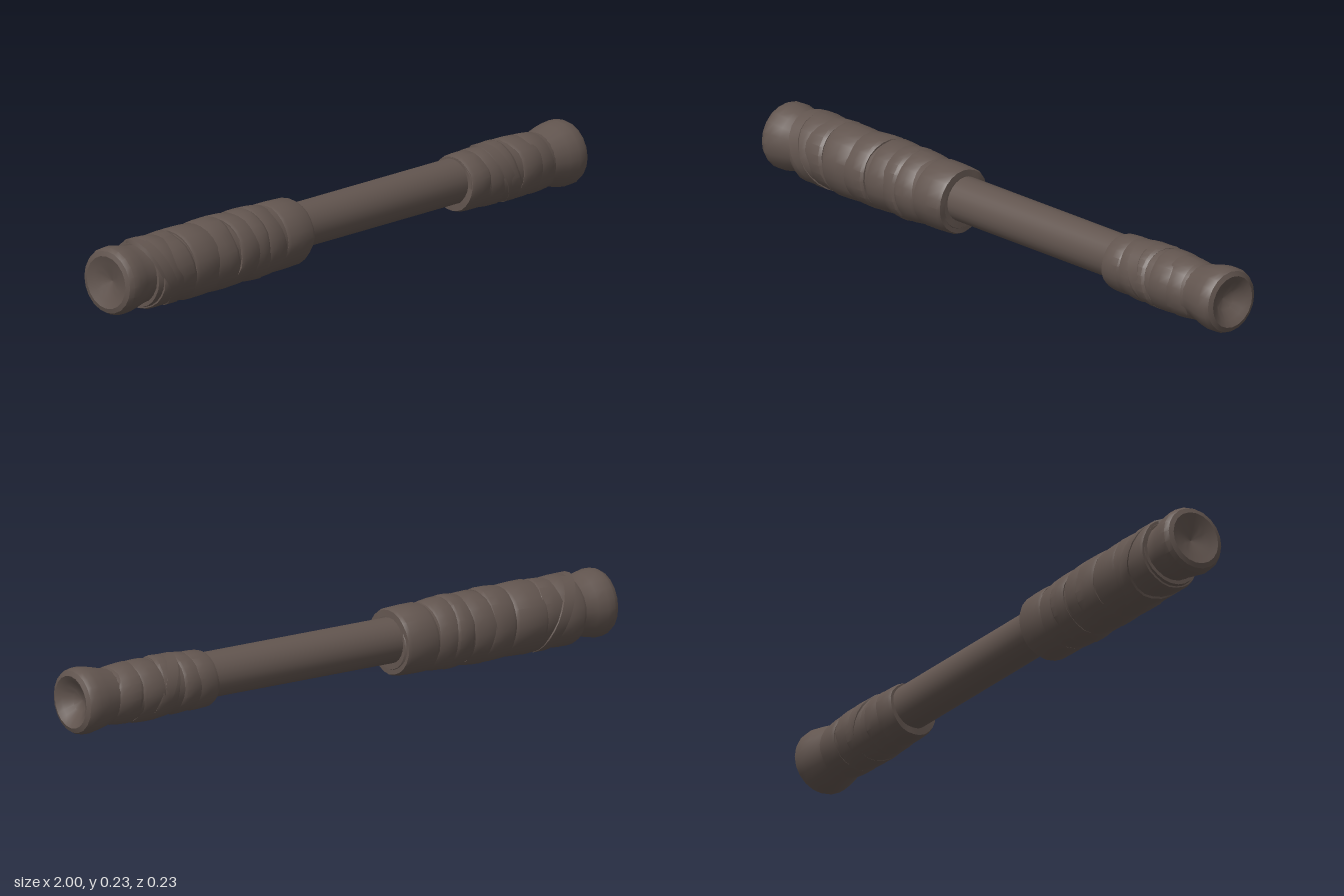
import * as THREE from 'three';
import { toCreasedNormals } from 'three/addons/utils/BufferGeometryUtils.js';

const AXIS_Y = 0.119;

export function createModel() {
  const group = new THREE.Group();
  const darkBrown = new THREE.MeshStandardMaterial({ color: 0x62554f });
  darkBrown.name = 'darkBrown';

  // Turned part along x: profile of [x, radius], optionally tilted and dented
  function turned(name, profile, { sides = 24, tilt = 0, phase = 0, dent = 0, seed = 0, y = AXIS_Y, z = -0.002, crease = 0.5 } = {}) {
    let geo = new THREE.LatheGeometry(profile.map(([x, r]) => new THREE.Vector2(Math.max(r, 0), x)), sides);
    geo.rotateZ(-Math.PI / 2);
    const p = geo.attributes.position;
    for (let i = 0; i < p.count; i++) {
      const a = Math.atan2(p.getZ(i), p.getY(i));
      const wave = Math.sin(3 * a + seed * 2.1) * 0.5 + Math.sin(5 * a + seed * 4.7) * 0.3 + Math.sin(8 * a + seed) * 0.2;
      const k = 1 + dent * wave;
      p.setXYZ(i, p.getX(i) + tilt * Math.cos(a - phase) + dent * 0.15 * wave, p.getY(i) * k, p.getZ(i) * k);
    }
    geo.deleteAttribute('normal');
    geo.deleteAttribute('uv');
    geo = toCreasedNormals(geo, crease);
    const mesh = new THREE.Mesh(geo, darkBrown);
    mesh.name = name;
    mesh.position.set(0, y, z);
    group.add(mesh);
  }

  // One turn of wrapped cloth, a shallow raised ring
  function band(name, x0, x1, r0, r1, tilt, phase, seed) {
    turned(name, [
      [x0, r0 - 0.025], [x0 + 0.001, r0 - 0.004], [x0 + 0.012, r0],
      [(x0 + x1) / 2, (r0 + r1) / 2 + 0.001], [x1 - 0.012, r1], [x1 - 0.001, r1 - 0.005], [x1, r1 - 0.025],
    ], { tilt, phase, dent: 0.018, seed });
  }

  // Central shaft
  turned('shaft', [[-0.25, 0], [-0.25, 0.071], [0.55, 0.071], [0.55, 0]], { y: 0.126, z: -0.006 });

  // Flared end caps with dished faces
  turned('longGripCap', [
    [-0.972, 0], [-0.985, 0.035], [-0.992, 0.06], [-1, 0.083], [-0.995, 0.098], [-0.98, 0.106],
    [-0.955, 0.107], [-0.92, 0.1], [-0.885, 0.092], [-0.84, 0.09], [-0.84, 0],
  ], { sides: 20, y: 0.122 });
  turned('shortGripCap', [
    [0.86, 0], [0.86, 0.084], [0.885, 0.089], [0.92, 0.098], [0.955, 0.104], [0.98, 0.103],
    [0.993, 0.097], [1, 0.082], [0.988, 0.062], [0.965, 0.035], [0.955, 0],
  ], { sides: 20, y: 0.12 });

  // Cloth cores under the wrapping
  turned('longGripCore', [[-0.87, 0], [-0.87, 0.1], [-0.84, 0.106], [-0.3, 0.104], [-0.215, 0.1], [-0.2, 0.085], [-0.2, 0]], { dent: 0.008 });
  turned('shortGripCore', [[0.505, 0], [0.505, 0.082], [0.52, 0.087], [0.7, 0.092], [0.86, 0.088], [0.885, 0.08], [0.885, 0]], { dent: 0.008 });

  // Wrapping turns: start, end, start radius, end radius, tilt, phase
  const longTurns = [
    [-0.862, -0.77, 0.112, 0.109, 0.008, 2.0],
    [-0.81, -0.7, 0.106, 0.113, -0.03, 0.5],
    [-0.72, -0.6, 0.114, 0.111, 0.012, 2.6],
    [-0.615, -0.52, 0.112, 0.115, -0.012, 0.9],
    [-0.53, -0.44, 0.114, 0.11, 0.012, 1.2],
    [-0.455, -0.385, 0.111, 0.114, 0.01, 3.6],
    [-0.395, -0.315, 0.112, 0.107, -0.008, 0.2],
    [-0.318, -0.2, 0.108, 0.106, 0.003, 1.0],
  ];
  const shortTurns = [
    [0.502, 0.585, 0.089, 0.091, 0.004, 0.6],
    [0.57, 0.645, 0.091, 0.094, 0.012, 2.2],
    [0.635, 0.72, 0.093, 0.098, -0.022, 0.6],
    [0.71, 0.8, 0.097, 0.095, 0.012, 1.4],
    [0.785, 0.872, 0.095, 0.09, -0.012, 0.4],
  ];
  longTurns.forEach((t, i) => band('longGripWrap' + (i + 1), ...t, i + 1));
  shortTurns.forEach((t, i) => band('shortGripWrap' + (i + 1), ...t, i + 11));

  // Slanted cloth strips crossing each grip
  const strips = [
    ['longGripStrip', -0.805, 0.024, 0.113, 0.06, 0.4],
    ['shortGripStrip', 0.68, 0.024, 0.097, 0.045, 0.4],
  ];
  for (const [name, x, w, r, tilt, phase] of strips) {
    turned(name, [[x - w, r - 0.012], [x - w + 0.004, r], [x + w - 0.004, r], [x + w, r - 0.012]],
      { tilt: -tilt, phase, dent: 0.012, seed: 5 });
  }

  return group;
}
